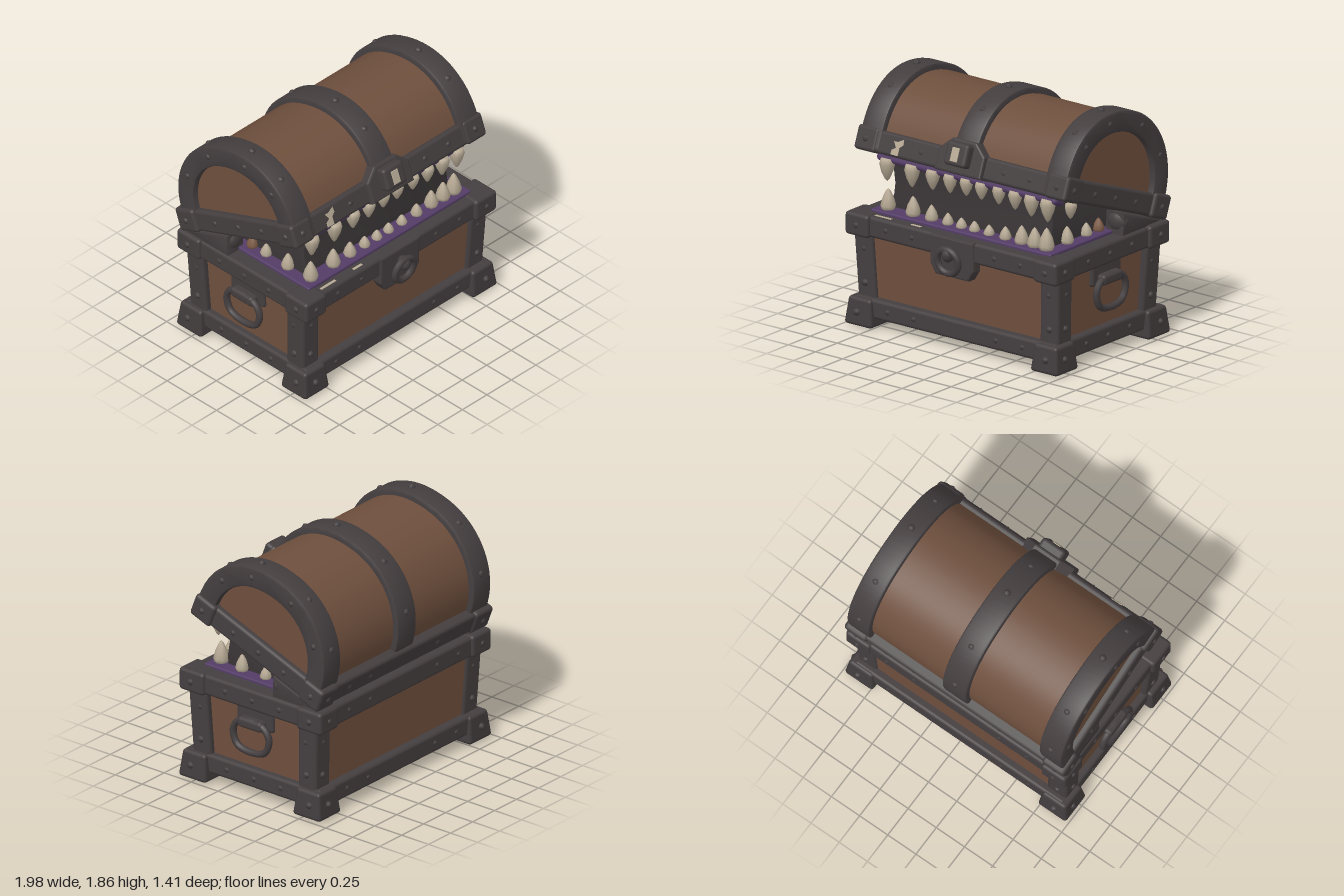
import * as THREE from 'three';
import { toCreasedNormals } from 'three/addons/utils/BufferGeometryUtils.js';
import { RoundedBoxGeometry } from 'three/addons/geometries/RoundedBoxGeometry.js';

const mat = (name, color) => {
  const m = new THREE.MeshStandardMaterial({ color });
  m.name = name;
  return m;
};
const TILT = 0.366; // opening angle of the lid
const SIDES = [-1, 1];

export function createModel() {
  const wood = mat('wood', 0x6e4f3d);
  const iron = mat('iron', 0x443e3f);
  const dark = mat('darkMouth', 0x3c3738);
  const gum = mat('gum', 0x533c66);
  const ivory = mat('ivory', 0xb5a893);
  const stain = mat('stainedTooth', 0x7d5b46);

  const root = new THREE.Group();
  const makeGroup = (name, parent) => {
    const g = new THREE.Group();
    g.name = name;
    parent.add(g);
    return g;
  };
  const add = (parent, name, geo, material, x = 0, y = 0, z = 0) => {
    const m = new THREE.Mesh(geo, material);
    m.name = name;
    m.position.set(x, y, z);
    parent.add(m);
    return m;
  };
  // Soft-edged block given by its limits
  const block = (parent, name, material, [x0, x1], [y0, y1], [z0, z1], r = 0.026) => {
    const s = [Math.abs(x1 - x0), y1 - y0, Math.abs(z1 - z0)];
    const geo = new RoundedBoxGeometry(...s, 2, Math.min(r, Math.min(...s) * 0.45));
    return add(parent, name, geo, material, (x0 + x1) / 2, (y0 + y1) / 2, (z0 + z1) / 2);
  };
  // Shifts or spreads vertices by height: t runs from 0 at the bottom to 1 at the top
  const shapeByHeight = (mesh, rule) => {
    const p = mesh.geometry.attributes.position;
    mesh.geometry.computeBoundingBox();
    const { min, max } = mesh.geometry.boundingBox;
    for (let i = 0; i < p.count; i++) {
      const t = (p.getY(i) - min.y) / (max.y - min.y);
      const [x, z] = rule(p.getX(i), p.getZ(i), t);
      p.setX(i, x);
      p.setZ(i, z);
    }
    return mesh;
  };
  // Outline in (z, y), extruded along x
  const prism = (shape, x0, x1, bevel = 0) => {
    const geo = new THREE.ExtrudeGeometry(shape, {
      depth: x1 - x0 - 2 * bevel, bevelEnabled: bevel > 0, bevelSize: bevel,
      bevelThickness: bevel, bevelOffset: -bevel, bevelSegments: 2,
    });
    geo.rotateY(-Math.PI / 2).translate(x1 - bevel, 0, 0);
    return toCreasedNormals(geo, 0.7);
  };
  const outline = (pts) => new THREE.Shape(pts.map(([a, b]) => new THREE.Vector2(a, b)));
  const rivetGeo = new THREE.SphereGeometry(0.028, 8, 6);
  const rivet = (parent, x, y, z) => add(parent, 'rivet', rivetGeo, iron, x, y, z);
  const plate = { depth: 0.09, bevelSize: 0.015, bevelOffset: -0.015, bevelThickness: 0.015, bevelSegments: 2 };

  // ---------- Body ----------
  const body = makeGroup('body', root);
  shapeByHeight(block(body, 'bodyWood', wood, [-0.9, 0.9], [0.14, 0.82], [-0.6, 0.55]),
    (x, z, t) => [x * (0.97 + 0.03 * t), z * (0.95 + 0.05 * t)]);
  for (const [y0, y1, out, name] of [[0.7, 0.86, 0.02, 'topBand'], [0.08, 0.23, 0, 'lowerBand']]) {
    block(body, name, iron, [-0.93, 0.93], [y0, y1], [0.42, 0.59 + out]);
    block(body, name, iron, [-0.93, 0.93], [y0, y1], [-0.64 - out, -0.48]);
    for (const s of SIDES) block(body, name, iron, [s * 0.78, s * (0.93 + out)], [y0, y1], [-0.6, 0.55]);
    const y = (y0 + y1) / 2;
    for (const x of [-0.62, -0.38, 0.38, 0.62]) {
      rivet(body, x, y, 0.572 + out);
      rivet(body, x, y, -0.622 - out);
    }
    for (const s of SIDES) for (const z of [-0.27, -0.02, 0.23]) rivet(body, s * (0.914 + out), y, z);
  }
  // Corner posts, caps and feet
  for (const s of SIDES) for (const f of SIDES) {
    const z = (d) => -0.02 + f * d;
    shapeByHeight(block(body, 'cornerPost', iron, [s * 0.75, s * 0.92], [0.15, 0.8], [z(0.4), z(0.57)]),
      (x, q, t) => [x + s * 0.03 * t * t, q + f * 0.03 * t * t]);
    block(body, 'cornerCap', iron, [s * 0.76, s * 0.975], [0.695, 0.868], [z(0.43), z(0.66)]);
    shapeByHeight(block(body, 'foot', iron, [s * 0.73, s * 0.985], [0.015, 0.225], [z(0.4), z(0.66)]),
      (x, q, t) => [x * (1 - 0.2 * t), q * (1 - 0.2 * t)]);
    for (const y of [0.12, 0.78]) {
      rivet(body, s * 0.87, y, z(0.645));
      rivet(body, s * 0.964, y, z(0.55));
    }
    for (const y of [0.33, 0.59]) {
      rivet(body, s * 0.85, y, z(0.57));
      rivet(body, s * 0.92, y, z(0.49));
    }
  }
  // Knobbly floor, facing down
  const floorGeo = new THREE.PlaneGeometry(1.62, 0.96, 64, 38).rotateX(Math.PI / 2);
  const fp = floorGeo.attributes.position;
  for (let i = 0; i < fp.count; i++) {
    const x = fp.getX(i), z = fp.getZ(i);
    fp.setY(i, 0.014 * Math.sin(x * 21 + 3 * Math.sin(z * 9)) + 0.014 * Math.cos(z * 25 + 3 * Math.sin(x * 11)));
  }
  floorGeo.computeVertexNormals();
  add(body, 'floor', floorGeo, dark, 0, 0.1, -0.03);
  for (const [x, w] of [[-0.4, 0.13], [-0.16, 0.16], [0.1, 0.17], [0.36, 0.15]]) {
    add(body, 'undersideSliver', new THREE.SphereGeometry(1, 14, 8), dark, x, 0.032, -0.2).scale.set(w, 0.026, 0.055);
  }
  // Front lock plate with ring
  const lock = makeGroup('frontLock', body);
  const lockPlate = outline([[-0.2, 0.86], [-0.2, 0.64], [-0.15, 0.56], [0.15, 0.56], [0.2, 0.64], [0.2, 0.86]]);
  add(lock, 'lockPlate', new THREE.ExtrudeGeometry(lockPlate, plate), iron, 0, 0, 0.52);
  add(lock, 'lockRing', new THREE.TorusGeometry(0.095, 0.025, 8, 24), iron, 0, 0.695, 0.665).rotation.x = 0.12;
  add(lock, 'ringKnob', new THREE.SphereGeometry(0.05, 12, 8), iron, 0, 0.75, 0.66).scale.set(0.9, 1.2, 1.1);
  // Side handles
  for (const s of SIDES) {
    const handle = makeGroup('sideHandle', body);
    block(handle, 'handlePlate', iron, [s * 0.86, s * 0.92], [0.55, 0.72], [-0.19, 0.15]);
    block(handle, 'handleClip', iron, [s * 0.9, s * 0.985], [0.56, 0.64], [-0.13, 0.09]);
    const path = new THREE.CatmullRomCurve3([[-0.13, 0.6], [0.09, 0.6], [0.145, 0.52], [0.11, 0.41],
      [-0.02, 0.375], [-0.15, 0.41], [-0.185, 0.52]].map(([z, y]) => new THREE.Vector3(s * 0.955, y, z)), true);
    add(handle, 'handleRing', new THREE.TubeGeometry(path, 40, 0.026, 8, true), iron);
  }
  // Worn strips on the front edge
  for (const [x0, x1] of [[-0.75, -0.6], [-0.42, -0.33]]) {
    block(body, 'wornStrip', ivory, [x0, x1], [0.857, 0.864], [0.55, 0.572], 0.002);
  }

  // ---------- Mouth ----------
  const mouth = makeGroup('mouth', root);
  block(mouth, 'lowerGum', gum, [-0.83, 0.83], [0.8, 0.884], [-0.55, 0.52], 0.012);
  add(mouth, 'throat', prism(outline([[0.38, 0.85], [0.39, 0.95], [0.37, 1.06], [0.4, 1.265], [-0.55, 0.93], [-0.55, 0.85]]),
    -0.73, 0.73, 0.02), dark);
  for (const s of SIDES) {
    const x = s * 0.85;
    add(mouth, 'hingeWedge', prism(outline([[-0.19, 0.85], [-0.2, 1.03], [-0.62, 0.88], [-0.62, 0.85]]),
      x - 0.09, x + 0.08, 0.02), iron);
    add(mouth, 'hingeLump', new THREE.SphereGeometry(0.08, 10, 7), iron, x, 0.95, -0.23).scale.set(1.15, 1, 0.7);
  }
  const toothGeo = new THREE.LatheGeometry([[0, -0.03], [0.3, -0.03], [0.36, 0.2], [0.27, 0.55], [0.11, 0.88], [0, 1]]
    .map(([r, y]) => new THREE.Vector2(r, y)), 8);
  const tooth = (name, x, y, z, h, dir, material = ivory) => {
    const t = add(mouth, name, toothGeo, material, x, y, z);
    const w = 0.07 + h * 0.55;
    t.scale.set(w, h, w);
    if (dir < 0) t.rotation.x = Math.PI;
  };
  const lidY = (z) => 1.1 + (z + 0.05) * Math.tan(TILT);
  for (const [x, h] of [[-0.73, 0.16], [-0.5, 0.15], [-0.33, 0.12], [-0.18, 0.09], [-0.055, 0.08], [0.065, 0.08],
    [0.2, 0.08], [0.35, 0.1], [0.5, 0.14], [0.62, 0.15], [0.73, 0.17]]) tooth('lowerTooth', x, 0.88, 0.44, h, 1);
  for (const [x, h] of [[-0.73, 0.17], [-0.5, 0.17], [-0.31, 0.15], [-0.15, 0.14], [0, 0.13], [0.14, 0.13],
    [0.3, 0.13], [0.45, 0.14], [0.6, 0.16], [0.75, 0.17]]) tooth('upperTooth', x, 1.265, 0.45, h, -1);
  for (const s of SIDES) {
    for (const [z, h, m] of [[0.23, 0.13, ivory], [0.01, 0.1, ivory], [-0.13, 0.1, stain]]) {
      tooth('lowerSideTooth', s * 0.75, 0.88, z, h, 1, m);
    }
    tooth('upperSideTooth', s * 0.75, lidY(0.19) - 0.02, 0.19, 0.12, -1);
  }

  // ---------- Lid, tilted open ----------
  const lid = makeGroup('lid', root);
  lid.position.set(0, 1.1, -0.05);
  lid.rotation.x = -TILT;
  // Arch profile, fuller at the front than at the back
  const archPoint = (a, inset) => {
    const c = Math.cos(a), k = c > 0 ? 2 / 2.2 : 1;
    return [Math.sign(c) * Math.abs(c) ** k * ((c > 0 ? 0.625 : 0.59) - inset),
      0.15 + Math.max(0, Math.sin(a)) ** k * (0.58 - inset)];
  };
  const arch = (inset, base) => {
    const pts = [[0.625 - inset, base]];
    for (let i = 0; i <= 36; i++) pts.push(archPoint(Math.PI * i / 36, inset));
    pts.push([inset - 0.59, base]);
    return pts;
  };
  const strap = (name, x0, x1, width) => add(lid, name,
    prism(outline([...arch(0, 0.03), ...arch(width, 0.03).reverse()]), x0, x1, 0.018), iron);
  add(lid, 'lidWood', prism(outline(arch(0.048, 0.02)), -0.9, 0.9), wood);
  strap('leftEndStrap', 0.755, 0.95, 0.16);
  strap('rightEndStrap', -0.95, -0.755, 0.16);
  strap('middleStrap', -0.105, 0.105, 0.1);
  for (const x of [-0.85, 0, 0.85]) for (const a of [0.6, 1.15, 1.9, 2.6]) {
    const [z, y] = archPoint(a, a === 1.15 ? 0 : 0.014);
    rivet(lid, x, y, z);
  }
  for (const s of SIDES) for (const a of [0.5, 1.1, 1.8, 2.5]) {
    const [z, y] = archPoint(a, 0.08);
    rivet(lid, s * 0.935, y, z);
  }
  // Rim frame
  for (const f of SIDES) {
    block(lid, 'rimBar', iron, [-0.94, 0.94], [0, 0.17], [f * 0.48, f * 0.62]);
    block(lid, 'rimSide', iron, [f * 0.78, f * 0.95], [0, 0.17], [-0.6, 0.6]);
    for (const s of SIDES) {
      block(lid, 'rimCorner', iron, [s * 0.78, s * 0.975], [-0.005, 0.178], [f * 0.44, f * 0.635]);
      rivet(lid, s * 0.88, 0.085, f * 0.622);
      rivet(lid, s * 0.962, 0.085, f * 0.54);
    }
    for (const x of [-0.38, 0.38, 0.62]) rivet(lid, x, 0.085, f * 0.602);
    for (const z of [-0.25, 0, 0.25]) rivet(lid, f * 0.934, 0.085, z);
  }
  // Palate and the gum behind the front rim
  block(lid, 'palate', dark, [-0.83, 0.83], [0.005, 0.06], [-0.5, 0.5], 0.012);
  block(lid, 'upperGum', gum, [-0.83, 0.83], [-0.05, 0.05], [0.42, 0.54], 0.03);
  // Clasp with keyhole stud
  const clasp = outline([[-0.21, -0.005], [0.21, -0.005], [0.21, 0.16], [0.11, 0.25], [-0.11, 0.25], [-0.21, 0.16]]);
  add(lid, 'claspPlate', new THREE.ExtrudeGeometry(clasp, plate), iron, 0, 0, 0.55);
  block(lid, 'claspStud', iron, [-0.1, 0.1], [0.05, 0.225], [0.6, 0.725]);
  block(lid, 'claspInlay', ivory, [-0.036, 0.03], [0.08, 0.185], [0.722, 0.731], 0.004);
  // Worn patch on the rim
  const patch = outline([[-0.64, 0.015], [-0.575, 0.015], [-0.575, 0.075], [-0.545, 0.1], [-0.55, 0.14],
    [-0.6, 0.115], [-0.635, 0.115], [-0.605, 0.07], [-0.64, 0.05]]);
  add(lid, 'wornPatch', new THREE.ExtrudeGeometry(patch, { depth: 0.006, bevelEnabled: false }), ivory, 0, 0, 0.618);

  return root;
}
